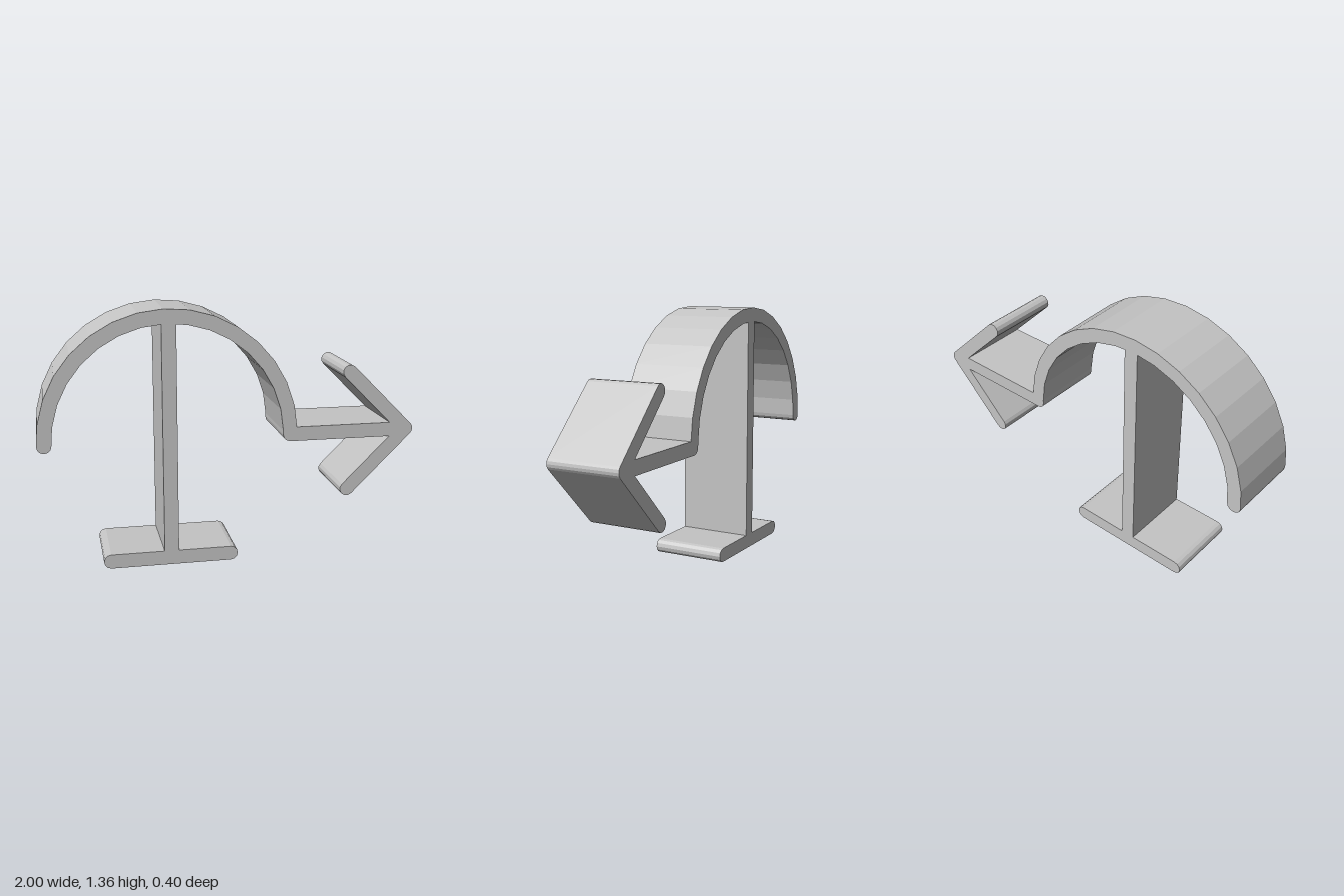
import * as THREE from 'three';

const R = 0.038;      // half thickness of every bar
const DEPTH = 0.4;
const MID = 0.683;    // height of the shaft and of the arch's centre

// Points along a circle, angles in degrees
function arc(cx, cy, r, from, to, steps) {
  const pts = [];
  for (let i = 0; i <= steps; i++) {
    const a = THREE.MathUtils.degToRad(from + ((to - from) * i) / steps);
    pts.push(new THREE.Vector2(cx + r * Math.cos(a), cy + r * Math.sin(a)));
  }
  return pts;
}

const poly = (...xy) => xy.map(([x, y]) => new THREE.Vector2(x, y));

export function createModel() {
  const group = new THREE.Group();
  const grey = new THREE.MeshStandardMaterial({ color: 0xc4c4c4 });
  grey.name = 'light grey';

  // Each part is a flat outline extruded evenly about z = 0
  function addPart(name, outline) {
    const geometry = new THREE.ExtrudeGeometry(new THREE.Shape(outline), {
      depth: DEPTH, bevelEnabled: false,
    });
    geometry.translate(0, 0, -DEPTH / 2);
    const mesh = new THREE.Mesh(geometry, grey);
    mesh.name = name;
    group.add(mesh);
  }

  // Base bar with rounded ends
  addPart('base', [
    ...arc(0, R, R, -90, 90, 6),
    ...arc(-0.643, R, R, 90, 270, 6),
  ]);

  // Upright stem from the base to the inside of the arch
  addPart('stem', poly([-0.36, 2 * R], [-0.284, 2 * R], [-0.284, 1.288], [-0.36, 1.288]));

  // Faceted half-circle arch with rounded ends
  const cx = -0.322, radius = 0.64;
  addPart('arch', [
    ...arc(cx, MID, radius + R, 2, 170.75, 15),
    ...arc(cx - radius, MID, R, 180, 360, 6),
    ...arc(cx, MID, radius - R, 170.75, 2, 15),
    ...arc(cx + radius, MID, R, 180, 360, 6),
  ]);

  // Horizontal shaft, its end notched to fit inside the arrowhead
  const inner = 0.96 - R * Math.SQRT2;
  const notch = inner - R;
  addPart('arrowShaft', poly(
    [cx + radius, MID - R], [notch, MID - R], [inner, MID],
    [notch, MID + R], [cx + radius, MID + R],
  ));

  // Arrowhead of two barbs with a rounded tip and rounded ends
  addPart('arrowhead', [
    ...arc(0.96, MID, R, -45, 45, 4),
    ...arc(0.638, MID + 0.322, R, 45, 225, 6),
    new THREE.Vector2(inner, MID),
    ...arc(0.638, MID - 0.322, R, 135, 315, 6),
  ]);

  return group;
}
